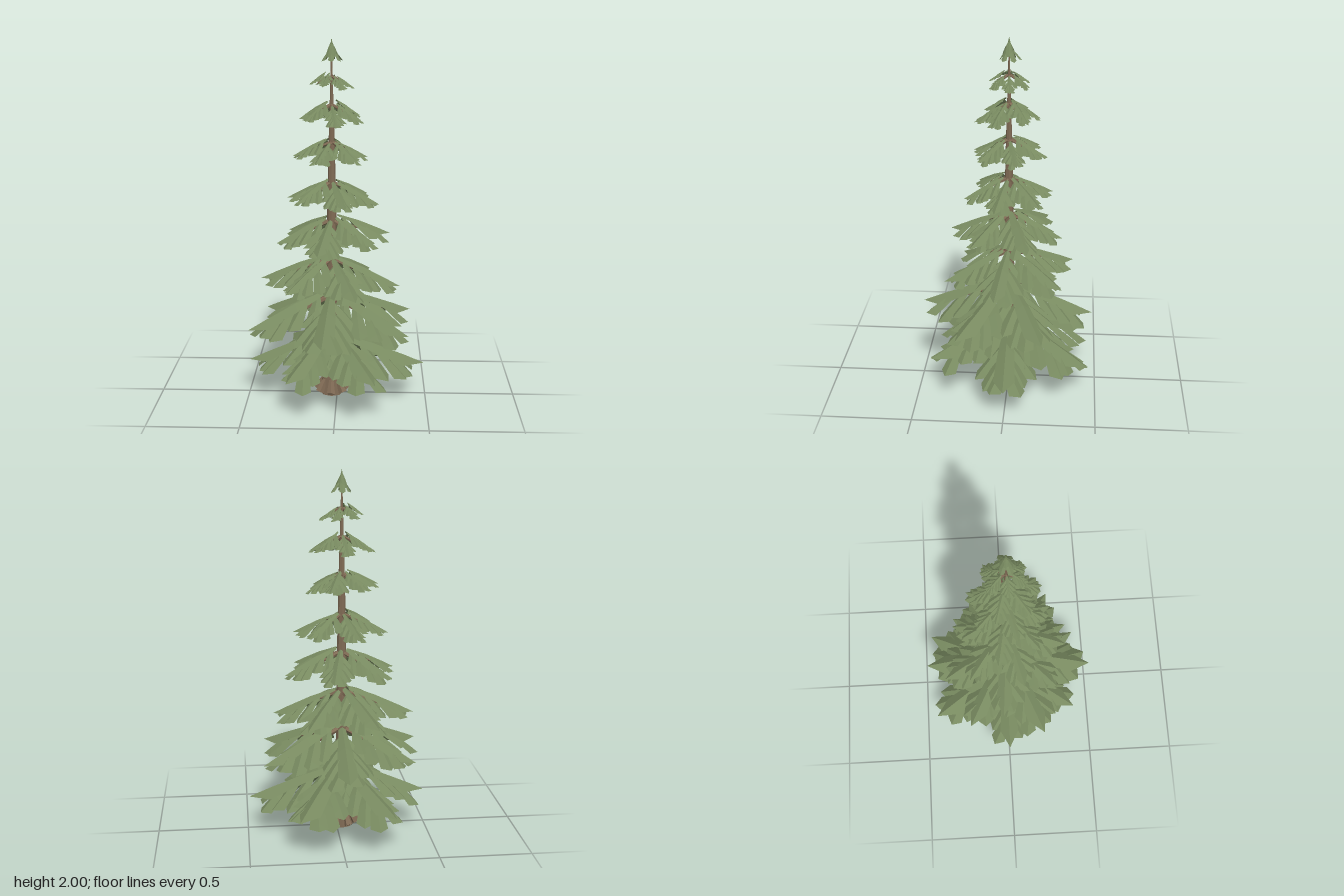
import * as THREE from 'three';

const bark = new THREE.MeshStandardMaterial({ color: 0x7f6a54, flatShading: true });
const needles = new THREE.MeshStandardMaterial({ color: 0x788a60, flatShading: true, side: THREE.DoubleSide });

let seed = 7;
function jitter(amount) {
  seed = (seed * 16807) % 2147483647;
  return (seed / 2147483647 * 2 - 1) * amount;
}

// Unit direction in the ground plane, counter-clockwise as seen from above
const heading = a => new THREE.Vector3(Math.cos(a), 0, -Math.sin(a));

// Roof-shaped pointed leaf: a drooping ridge with two sloping flanks
const STATIONS = [[0, 0.35], [0.4, 0.78], [0.76, 1], [1, 0]];
function addLeaf(out, base, angle, length, halfWidth, drop, sag) {
  const along = heading(angle), across = heading(angle + Math.PI / 2);
  const point = ([t, w], s) => base.clone()
    .addScaledVector(along, length * t)
    .addScaledVector(across, s * w * halfWidth)
    .add(new THREE.Vector3(0, -drop * Math.pow(t, 1.2) - Math.abs(s) * w * sag, 0));
  for (let i = 0; i < STATIONS.length - 1; i++) {
    for (const s of [1, -1]) {
      const a = point(STATIONS[i], 0), b = point(STATIONS[i], s);
      const c = point(STATIONS[i + 1], s), d = point(STATIONS[i + 1], 0);
      const tris = s > 0 ? [a, d, b, d, c, b] : [a, b, d, d, b, c];
      for (const p of tris) out.push(p.x, p.y, p.z);
    }
  }
}

function leafMesh(points, name) {
  const geometry = new THREE.BufferGeometry();
  geometry.setAttribute('position', new THREE.Float32BufferAttribute(points, 3));
  geometry.computeVertexNormals();
  const mesh = new THREE.Mesh(geometry, needles);
  mesh.name = name;
  return mesh;
}

// Tapered stick between two points
function stick(from, to, r0, r1, sides, name) {
  const dir = to.clone().sub(from);
  const mesh = new THREE.Mesh(new THREE.CylinderGeometry(r1, r0, dir.length(), sides), bark);
  mesh.position.copy(from).add(to).multiplyScalar(0.5);
  mesh.quaternion.setFromUnitVectors(new THREE.Vector3(0, 1, 0), dir.normalize());
  mesh.name = name;
  return mesh;
}

// Side leaves of a bough: place along the ridge, length share, spread in degrees
const SIDE_LEAVES = [[0.1, 0.42, 54], [0.26, 0.42, 46], [0.42, 0.39, 38], [0.58, 0.33, 29]];

function addBough(out, top, angle, radius, drop) {
  const start = 0.025 + 0.03 * radius, length = radius - start;
  addLeaf(out, heading(angle).multiplyScalar(start).setY(top), angle, length, radius * 0.115, drop, radius * 0.09);
  for (const [t, share, degrees] of SIDE_LEAVES) {
    for (const side of [1, -1]) {
      const base = heading(angle).multiplyScalar(start + length * t)
        .setY(top - drop * Math.pow(t, 1.2) - radius * 0.035);
      const size = radius * share * (1 + jitter(0.12));
      const turn = THREE.MathUtils.degToRad(degrees + jitter(6));
      addLeaf(out, base, angle + side * turn, size, radius * 0.095, size * (0.66 + jitter(0.1)), radius * 0.065);
    }
  }
}

export function createModel() {
  const tree = new THREE.Group();
  tree.name = 'firTree';
  const body = new THREE.Group();
  body.name = 'trunkAndBoughs';
  body.position.set(-0.03, 0, 0.002);
  tree.add(body);

  // Trunk
  const profile = [[0, 0], [0.062, 0], [0.054, 0.1], [0.036, 0.22], [0.033, 0.45], [0.027, 0.95],
    [0.018, 1.4], [0.009, 1.7], [0.003, 1.94], [0, 1.96]].map(p => new THREE.Vector2(...p));
  const trunk = new THREE.Mesh(new THREE.LatheGeometry(profile, 8), bark);
  trunk.name = 'trunk';
  body.add(trunk);

  // Roots
  for (let i = 0; i < 7; i++) {
    const dir = heading(i / 7 * Math.PI * 2 + 0.2);
    body.add(stick(dir.clone().multiplyScalar(0.084).setY(0.021),
      dir.clone().multiplyScalar(0.036).setY(0.105), 0.025, 0.01, 5, 'root'));
  }

  // Tiers of boughs: top height, radius, drop to the tips
  const tiers = [[0.37, 0.495, 0.17], [0.6, 0.475, 0.175], [0.81, 0.385, 0.15], [1.03, 0.325, 0.13],
    [1.24, 0.265, 0.11], [1.46, 0.21, 0.09], [1.66, 0.18, 0.1], [1.81, 0.12, 0.07]];
  tiers.forEach(([top, radius, drop], tier) => {
    const points = [];
    for (let i = 0; i < 6; i++) {
      const angle = i * Math.PI / 3 + tier * 0.46 + (tier ? jitter(0.06) : 0);
      const reach = tier ? radius * (1 + jitter(0.06)) : radius + 0.035 * Math.cos(angle - 0.7);
      addBough(points, top + jitter(0.015), angle, reach, drop);
      const dir = heading(angle);
      body.add(stick(dir.clone().multiplyScalar(0.01).setY(top - 0.01 - radius * 0.03),
        dir.clone().multiplyScalar(reach * 0.65).setY(top - drop * 0.6 - radius * 0.06),
        0.004 + radius * 0.024, 0.002, 5, 'branch'));
    }
    body.add(leafMesh(points, 'boughTier'));
  });

  // Crown tuft: two rings of steep hanging leaves under a pointed tip
  const crown = [];
  for (let i = 0; i < 6; i++) {
    const angle = i / 6 * Math.PI * 2;
    addLeaf(crown, new THREE.Vector3(0, 1.98, 0), angle, 0.038 + jitter(0.006), 0.016, 0.08, 0.01);
    addLeaf(crown, heading(angle + 0.5).multiplyScalar(0.01).setY(1.94), angle + 0.5,
      0.05 + jitter(0.01), 0.016, 0.062, 0.01);
  }
  body.add(leafMesh(crown, 'crownTuft'));
  const tip = new THREE.Mesh(new THREE.ConeGeometry(0.013, 0.06, 6), needles);
  tip.name = 'crownTip';
  tip.position.y = 1.97;
  body.add(tip);

  return tree;
}
